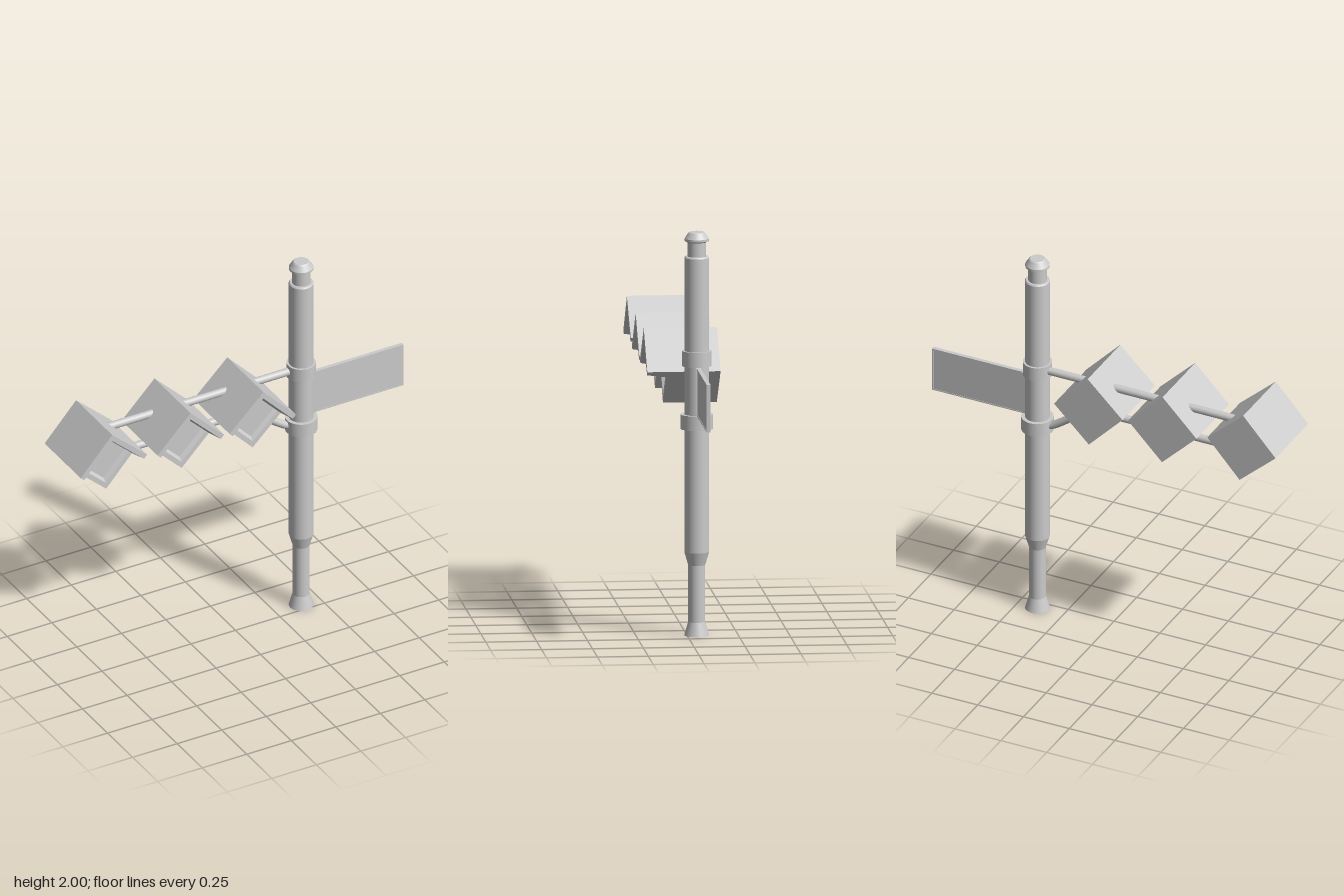
import * as THREE from 'three';

const POLE_X = 0.395, POLE_Z = -0.047;
const grey = new THREE.MeshStandardMaterial({ color: 0xcccccc });
const flat = new THREE.MeshStandardMaterial({ color: 0xcccccc, flatShading: true });

function add(parent, name, geometry, material = flat) {
  const mesh = new THREE.Mesh(geometry, material);
  mesh.name = name;
  parent.add(mesh);
  return mesh;
}

// Lathe whose listed rings are doubled so that profile corners stay sharp
function turned(points) {
  const profile = [];
  points.forEach(([r, y], i) => {
    profile.push(new THREE.Vector2(r, y));
    if (i > 0 && i < points.length - 1) profile.push(new THREE.Vector2(r, y + 1e-5));
  });
  return new THREE.LatheGeometry(profile, 32);
}

function polygon(points) {
  return new THREE.Shape(points.map(([x, y]) => new THREE.Vector2(x, y)));
}

// Square-framed lamp housing with an L-shaped hood over its two upper sides
function makeLamp(x, y, angle) {
  const lamp = new THREE.Group();
  lamp.name = 'lampBox';
  const h = 0.132, back = -0.18, face = 0.085, front = 0.18;
  const square = s => [[-s, -s], [s, -s], [s, s], [-s, s]];

  const body = add(lamp, 'housing', new THREE.BoxGeometry(2 * h, 2 * h, face - 0.02 - back));
  body.position.z = (back + face - 0.02) / 2;

  // Raised rim with an inner edge sloping towards the lens
  const rimShape = polygon(square(h));
  rimShape.holes.push(polygon(square(h - 0.025).reverse()));
  const rimGeo = new THREE.ExtrudeGeometry(rimShape, { depth: 0.02, bevelEnabled: false });
  const rp = rimGeo.attributes.position;
  for (let i = 0; i < rp.count; i++) {
    if (rp.getZ(i) < 0.01 && Math.abs(rp.getX(i)) < h - 0.01 && Math.abs(rp.getY(i)) < h - 0.01) {
      rp.setXY(i, rp.getX(i) * 0.88, rp.getY(i) * 0.88);
    }
  }
  rimGeo.computeVertexNormals();
  add(lamp, 'rim', rimGeo).position.z = face - 0.02;

  // Hood: thick where it meets the rim, thin at its front edge
  const t = 0.026;
  const hoodShape = polygon([[h, -h], [h, h], [-h, h], [-h, h - t], [h - t, h - t], [h - t, -h]]);
  const hoodGeo = new THREE.ExtrudeGeometry(hoodShape, { depth: front - face, bevelEnabled: false });
  const hp = hoodGeo.attributes.position;
  for (let i = 0; i < hp.count; i++) {
    if (hp.getZ(i) > 0.01) continue;
    const px = hp.getX(i), py = hp.getY(i);
    if (Math.abs(px - (h - t)) < 1e-4) hp.setX(i, px - 0.02);
    if (Math.abs(py - (h - t)) < 1e-4) hp.setY(i, py - 0.02);
  }
  hoodGeo.computeVertexNormals();
  add(lamp, 'hood', hoodGeo).position.z = face;

  // Local +x,+y corner points up once turned
  lamp.rotation.z = THREE.MathUtils.degToRad(angle);
  lamp.position.set(x, y, 0);
  return lamp;
}

export function createModel() {
  const model = new THREE.Group();
  model.name = 'signalPost';

  // Post with flared foot, narrow lower shaft and capped top
  const post = add(model, 'post', turned([
    [0, 0], [0.061, 0], [0.042, 0.068], [0.042, 0.35], [0.061, 0.415],
    [0.061, 1.873], [0.056, 1.88], [0.046, 1.88], [0.046, 1.95], [0.06, 1.957],
    [0.06, 1.968], [0.042, 1.995], [0.036, 2], [0, 2],
  ]), grey);
  post.position.set(POLE_X, 0, POLE_Z);

  // Clamping collars
  for (const [name, r, y0, y1] of [['upperCollar', 0.072, 1.337, 1.412], ['lowerCollar', 0.08, 1.025, 1.097]]) {
    add(model, name, turned([[0, y0], [r, y0], [r, y1], [0, y1]]), grey)
      .position.set(POLE_X, 0, POLE_Z);
  }

  // Side plate, its mounting strip and slim edging
  const plateZ = -0.05;
  const box = (name, x0, x1, y0, y1, d) =>
    add(model, name, new THREE.BoxGeometry(x1 - x0, y1 - y0, d))
      .position.set((x0 + x1) / 2, (y0 + y1) / 2, plateZ);
  box('plate', 0.44, 0.957, 1.103, 1.329, 0.016);
  box('plateMount', 0.42, 0.475, 1.103, 1.334, 0.026);
  box('plateTopEdge', 0.44, 0.965, 1.327, 1.335, 0.02);
  box('plateBottomEdge', 0.44, 0.965, 1.1, 1.106, 0.02);
  box('plateEndEdge', 0.955, 0.965, 1.1, 1.335, 0.02);

  // Support rods running through the lamps
  const rod = (name, pts) => add(model, name, new THREE.TubeGeometry(
    new THREE.CatmullRomCurve3(pts.map(([x, y]) => new THREE.Vector3(x, y, POLE_Z - 0.005))),
    48, 0.02, 16), grey);
  rod('upperRod', [[-0.76, 1.375], [-0.2, 1.375], [POLE_X, 1.375]]);
  rod('lowerRod', [[-0.76, 1.215], [-0.35, 1.213], [0, 1.212], [0.09, 1.2],
    [0.17, 1.165], [0.27, 1.095], [0.32, 1.066], [POLE_X, 1.06]]);

  // Three diamond-set lamps, each tilted slightly differently
  model.add(
    makeLamp(-0.784, 1.305, 48),
    makeLamp(-0.352, 1.292, 45.5),
    makeLamp(0.052, 1.285, 44),
  );
  return model;
}
